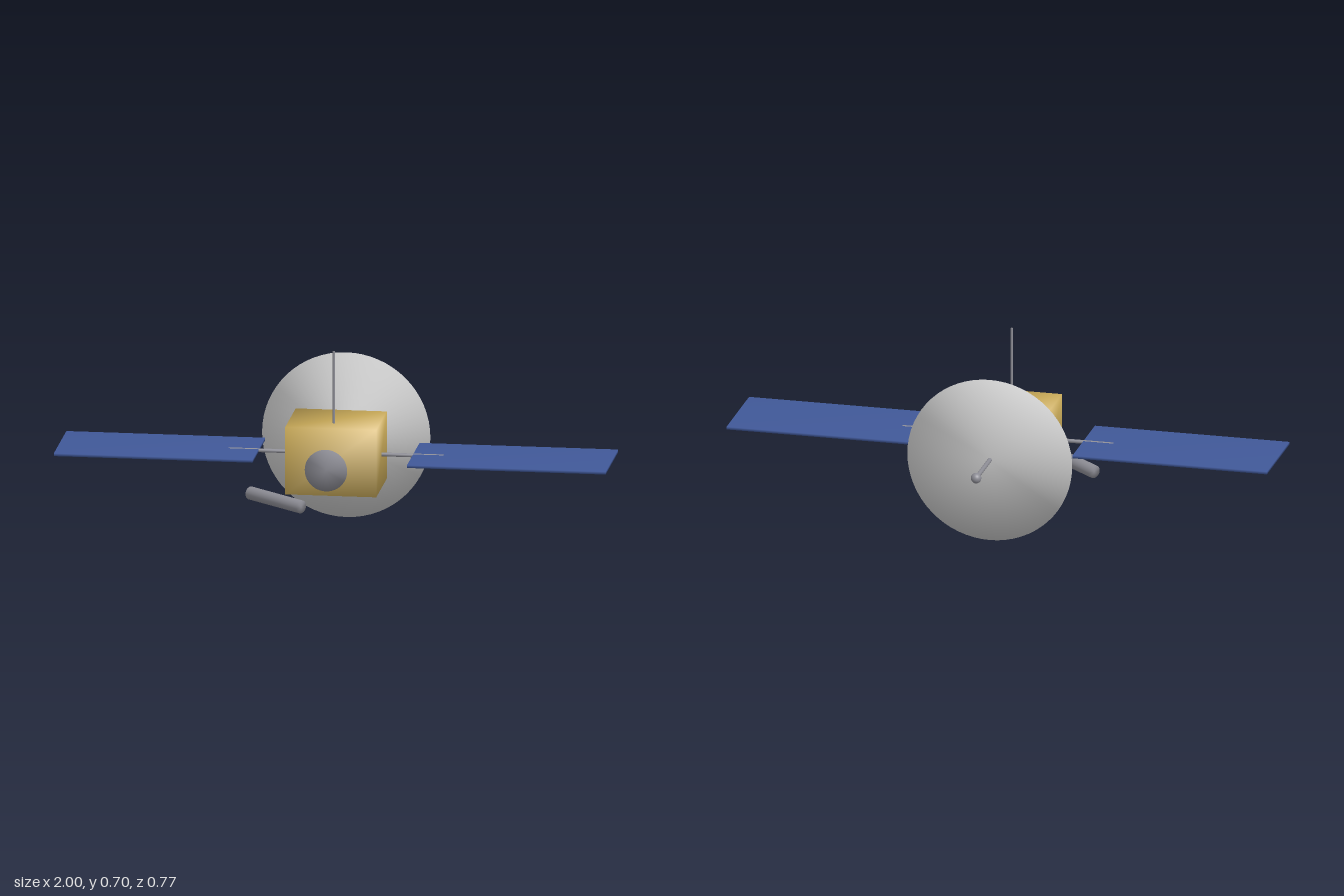
import * as THREE from 'three';
import { mergeVertices } from 'three/addons/utils/BufferGeometryUtils.js';

// Weld the corners so shading runs smoothly over every edge
function smooth(geometry) {
  geometry.deleteAttribute('normal');
  geometry.deleteAttribute('uv');
  const welded = mergeVertices(geometry, 1e-5);
  welded.computeVertexNormals();
  return welded;
}

export function createModel() {
  const model = new THREE.Group();
  model.name = 'satellite';

  const material = (name, color) => {
    const m = new THREE.MeshStandardMaterial({ color });
    m.name = name;
    return m;
  };
  const gold = material('goldFoil', 0xd0b05c);
  const blue = material('solarBlue', 0x405898);
  const pale = material('paleGrey', 0xcccccc);
  const grey = material('metalGrey', 0x8c8c94);

  const add = (name, geometry, mat) => {
    const mesh = new THREE.Mesh(geometry, mat);
    mesh.name = name;
    model.add(mesh);
    return mesh;
  };
  const box = (name, size, centre, mat) =>
    add(name, smooth(new THREE.BoxGeometry(...size)), mat).position.set(...centre);

  // Solid round part from point a (radius ra) to point b (radius rb)
  const UP = new THREE.Vector3(0, 1, 0);
  const round = (name, a, b, ra, rb, mat, sides = 32) => {
    const start = new THREE.Vector3(...a), end = new THREE.Vector3(...b);
    const axis = end.clone().sub(start);
    const mesh = add(name, smooth(new THREE.CylinderGeometry(rb, ra, axis.length(), sides)), mat);
    mesh.position.copy(start).add(end).multiplyScalar(0.5);
    mesh.quaternion.setFromUnitVectors(UP, axis.normalize());
  };

  const midY = 0.307;

  // Main body
  box('body', [0.33, 0.249, 0.278], [0, midY, 0.109], gold);

  // Solar wings and their booms
  for (const [side, s] of [['left', 1], ['right', -1]]) {
    box(side + 'SolarPanel', [0.72, 0.01, 0.333], [s * 0.64, midY, 0.108], blue);
    round(side + 'Boom', [s * 0.15, midY, 0.108], [s * 0.39, midY, 0.108], 0.007, 0.007, grey, 16);
  }

  // Shallow dish closed by a flat face at the rear, with its feed
  round('dish', [0, midY, -0.065], [0, midY, -0.162], 0.016, 0.305, pale, 64);
  round('feedMast', [0, midY, -0.155], [0, midY, -0.36], 0.008, 0.008, grey, 16);
  add('feedBall', new THREE.SphereGeometry(0.019, 24, 16), grey).position.set(0, midY, -0.364);

  // Front horn
  round('horn', [0, midY, 0.262], [0, midY, 0.373], 0.015, 0.077, grey, 48);

  // Upright antenna
  round('antenna', [0, 0.425, 0.165], [0, 0.697, 0.165], 0.005, 0.005, grey, 16);

  // Slanted canister below the body
  round('canister', [-0.299, 0.168, 0.188], [-0.091, 0.168, 0.366], 0.024, 0.024, grey);

  return model;
}
